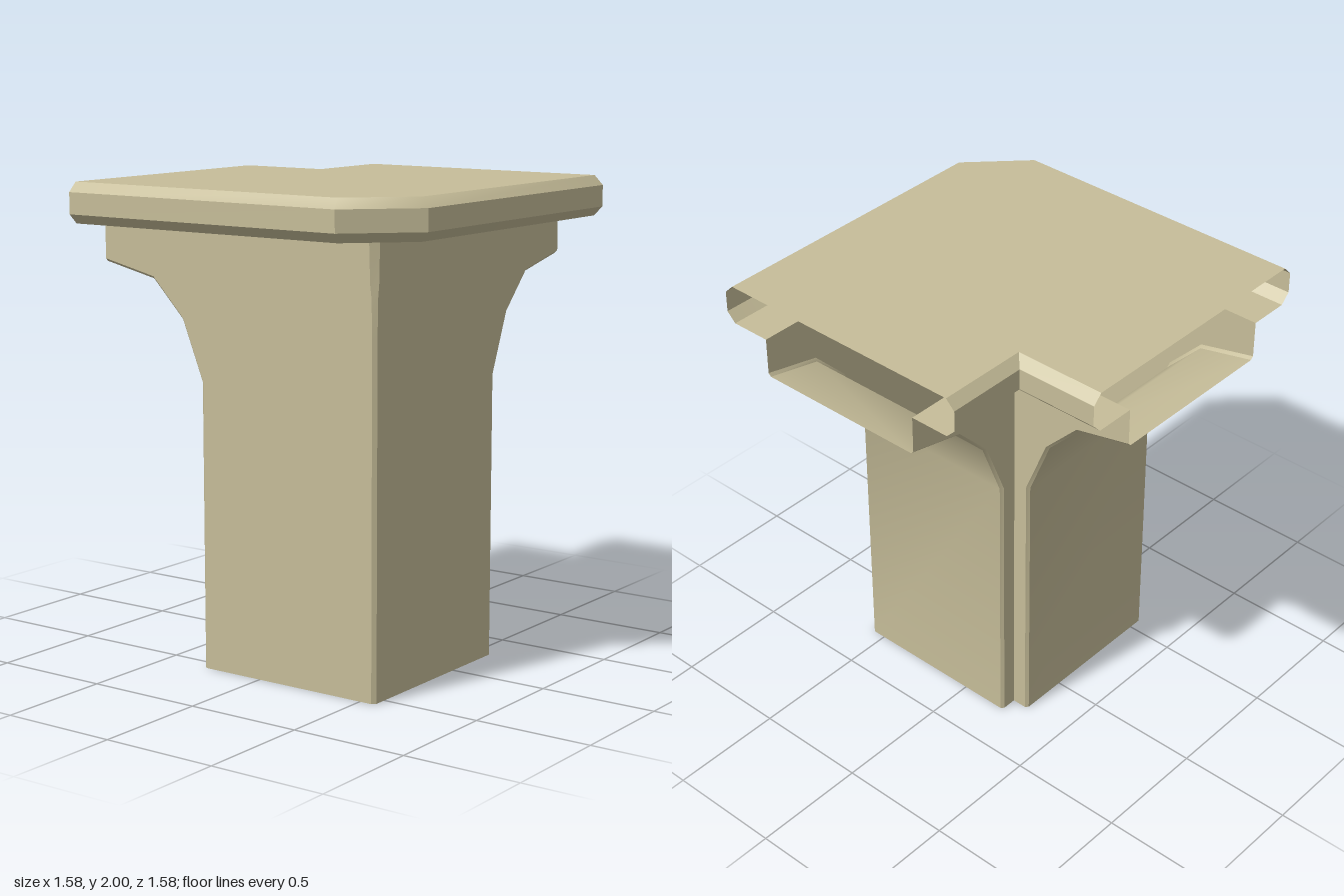
import * as THREE from 'three';
import { toCreasedNormals } from 'three/addons/utils/BufferGeometryUtils.js';

const END = -0.79;    // open ends of the two arms
const WALL = 0.57;    // outer wall planes (+x and +z)
const INNER = -0.215; // inner walls, meeting in the re-entrant corner
const BEVEL = 0.012;

const material = new THREE.MeshStandardMaterial({ color: 0xc6bd99, side: THREE.DoubleSide });

// Skin rows of [x, y, z] points, lowest row first; skip(i, j) leaves a quad open
function loft(name, rows, closed = false, skip = () => false) {
  const pos = [];
  for (let i = 0; i < rows.length - 1; i++) {
    const n = rows[i].length;
    for (let j = 0; j < (closed ? n : n - 1); j++) {
      if (skip(i, j)) continue;
      const k = (j + 1) % n;
      const [a, b, c, d] = [rows[i][j], rows[i][k], rows[i + 1][k], rows[i + 1][j]];
      pos.push(...a, ...b, ...c, ...a, ...c, ...d);
    }
  }
  const geo = new THREE.BufferGeometry();
  geo.setAttribute('position', new THREE.Float32BufferAttribute(pos, 3));
  const mesh = new THREE.Mesh(toCreasedNormals(geo, 0.7), material);
  mesh.name = name;
  return mesh;
}

// Flat horizontal polygon from [x, z] points
function plate(name, points, y, up) {
  const s = up ? -1 : 1;
  const geo = new THREE.ShapeGeometry(new THREE.Shape(points.map(([x, z]) => new THREE.Vector2(x, s * z))));
  geo.rotateX(s * Math.PI / 2).translate(0, y, 0);
  const mesh = new THREE.Mesh(geo, material);
  mesh.name = name;
  return mesh;
}

// Column section at one height: e = soffit edge, (dx, dy) = bevel offset, c = corner chamfer
function section({ e, y, dx, dy, c }) {
  const w = e + dx, h = y + dy, b = BEVEL;
  return [
    [w, h, WALL], [WALL - c, y, WALL], [WALL, y, WALL - c], [WALL, h, w],
    [WALL - b, y, e], [INNER + b, y, e], [INNER, h, w],
    [INNER, y, INNER],
    [w, h, INNER], [e, y, INNER + b], [e, y, WALL - b],
  ];
}

export function createModel() {
  const group = new THREE.Group();

  // Column flaring into two arms
  const levels = [
    { e: -0.29, y: 0, dx: BEVEL, dy: 0, c: 0.015 },
    { e: -0.29, y: 1.2, dx: 0.012, dy: 0.003, c: 0.015 },
    { e: -0.39, y: 1.45, dx: 0.01, dy: 0.006, c: 0.015 },
    { e: -0.54, y: 1.605, dx: 0.006, dy: 0.01, c: 0.018 },
    { e: END, y: 1.66, dx: 0, dy: 0.012, c: 0.025 },
    { e: END, y: 1.83, dx: 0, dy: 0, c: 0.03 },
  ];
  const rings = levels.map(section);
  const openSides = [3, 4, 5, 8, 9, 10];
  group.add(loft('column', rings, true, (i, j) => i === levels.length - 2 && openSides.includes(j)));
  group.add(plate('columnBase', rings[0].map(([x, , z]) => [x, z]), 0, false));

  // Cornice: outer edge with a cut corner, and the inner edge around the notch
  const outer = (t) => {
    const r = 0.785 - t, k = 0.535 - t * Math.tan(Math.PI / 8);
    return [[END, r], [k, r], [r, k], [r, END]];
  };
  const notch = (t) => {
    const r = -0.43 + t;
    return [[r, END], [r, r], [END, r]];
  };
  const profile = [[0.04, 1.83], [0, 1.87], [0, 1.96], [0.04, 2]];
  const cornice = (name, path, wallRow) => {
    const rows = profile.map(([t, y]) => path(t).map(([x, z]) => [x, y, z]));
    group.add(loft(name, [wallRow, ...rows]));
  };
  const top = rings[rings.length - 1];
  cornice('outerCornice', outer, top.slice(0, 4));
  cornice('notchCornice', notch, top.slice(6, 9));

  // Top slab
  group.add(plate('topSlab', [...outer(0.04), ...notch(0.04)], 2, true));
  return group;
}
